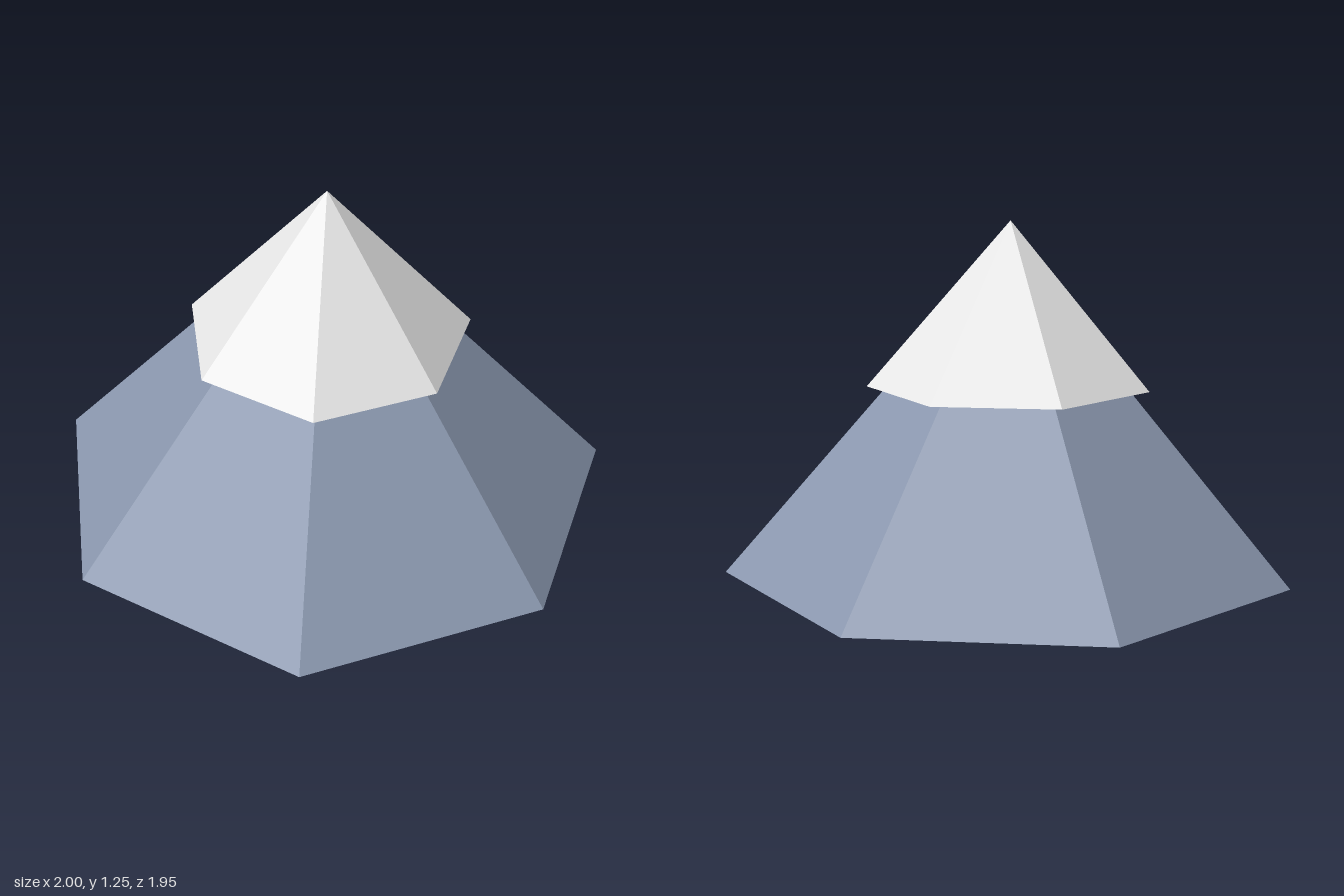
import * as THREE from 'three';

const SIDES = 7;
const CENTRE_Z = 0.051; // keeps the heptagon's bounds centred on z = 0

// Seven-sided closed cone standing on baseY, with one corner pointing to the back
function peak(name, radius, height, baseY, material) {
  const geometry = new THREE.ConeGeometry(radius, height, SIDES, 1, false, Math.PI);
  geometry.translate(0, height / 2, 0);
  const mesh = new THREE.Mesh(geometry, material);
  mesh.name = name;
  mesh.position.set(0, baseY, CENTRE_Z);
  return mesh;
}

export function createModel() {
  const rock = new THREE.MeshStandardMaterial({ color: 0x8a97ae });
  rock.name = 'slate blue rock';
  rock.flatShading = true;
  const snow = new THREE.MeshStandardMaterial({ color: 0xeeeeee });
  snow.name = 'white snow';
  snow.flatShading = true;

  const group = new THREE.Group();
  group.name = 'mountain';
  group.add(peak('mountainBody', 1.026, 1.166, 0, rock));
  // Wider cap overhangs the rock below it
  group.add(peak('snowCap', 0.513, 0.583, 0.665, snow));
  return group;
}
